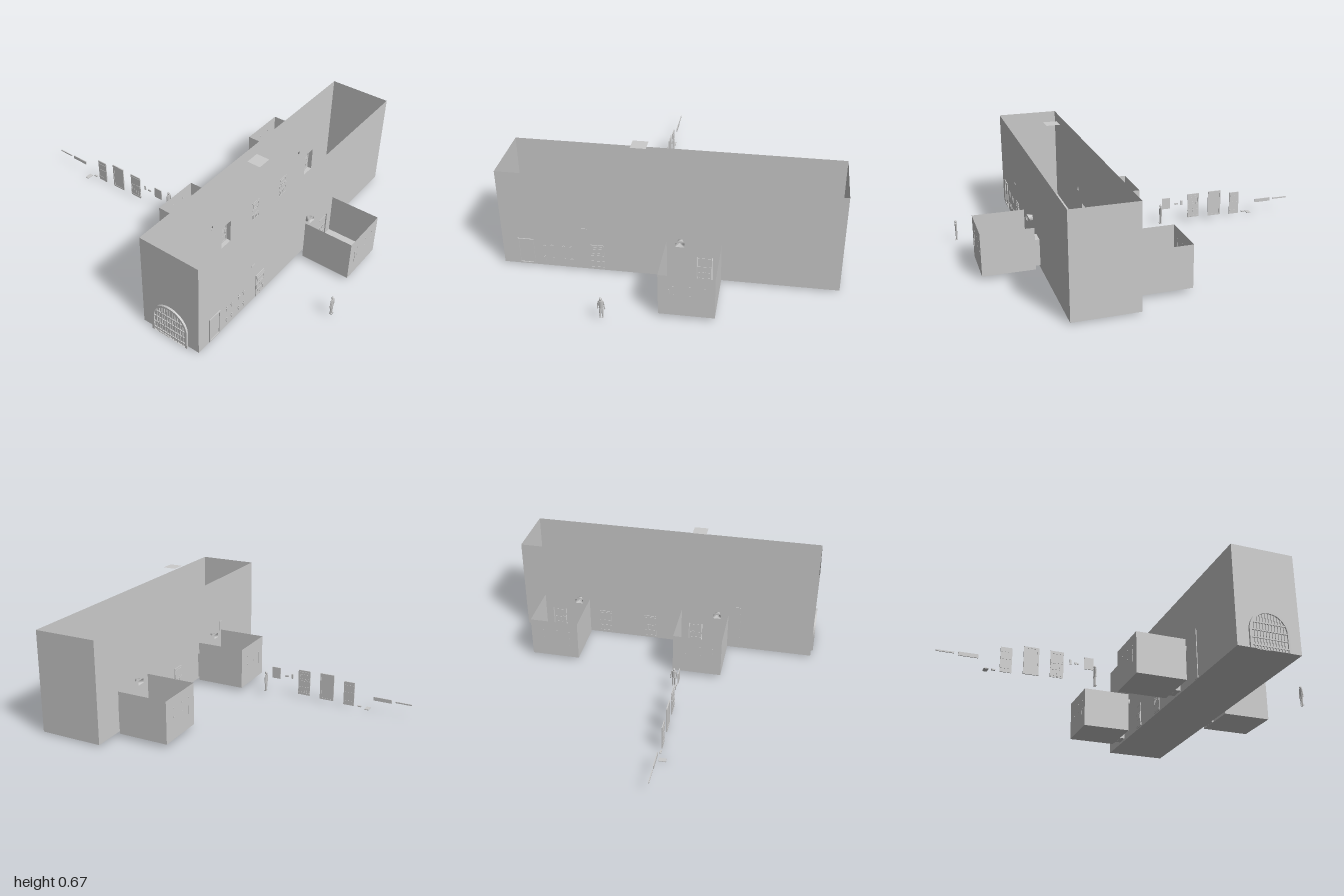
import * as THREE from 'three';

const mat = new THREE.MeshStandardMaterial({ color: 0xcccccc, side: THREE.DoubleSide });

function add(parent, name, geo, x = 0, y = 0, z = 0) {
  const m = new THREE.Mesh(geo, mat);
  m.name = name;
  m.position.set(x, y, z);
  parent.add(m);
  return m;
}

// box given by its min and max corners
function block(parent, name, x0, x1, y0, y1, z0, z1) {
  return add(parent, name, new THREE.BoxGeometry(x1 - x0, y1 - y0, z1 - z0),
    (x0 + x1) / 2, (y0 + y1) / 2, (z0 + z1) / 2);
}

function rect(T, x0, x1, y0, y1) {
  const s = new T();
  s.moveTo(x0, y0).lineTo(x1, y0).lineTo(x1, y1).lineTo(x0, y1).closePath();
  return s;
}

// thin upright wall in the xy plane with rectangular openings
function wall(parent, name, x0, x1, y0, y1, z, holes = []) {
  const s = rect(THREE.Shape, x0, x1, y0, y1);
  holes.forEach(h => s.holes.push(rect(THREE.Path, ...h)));
  return add(parent, name, new THREE.ShapeGeometry(s), 0, 0, z);
}

// thin wall in the yz plane
function endWall(parent, name, x, y0, y1, z0, z1) {
  add(parent, name, new THREE.PlaneGeometry(z1 - z0, y1 - y0), x, (y0 + y1) / 2, (z0 + z1) / 2)
    .rotation.y = Math.PI / 2;
}

function flat(parent, name, x0, x1, z0, z1, y) {
  add(parent, name, new THREE.PlaneGeometry(x1 - x0, z1 - z0), (x0 + x1) / 2, y, (z0 + z1) / 2)
    .rotation.x = -Math.PI / 2;
}

// extruded frame around a rectangular opening
function frame(parent, name, x0, x1, y0, y1, border, depth) {
  const s = rect(THREE.Shape, x0, x1, y0, y1);
  s.holes.push(rect(THREE.Path, x0 + border, x1 - border, y0 + border, y1 - border));
  return add(parent, name, new THREE.ExtrudeGeometry(s, { depth, bevelEnabled: false }));
}

// studded door with a barred peep window, centred on x, base at y = 0
function door(parent, x, y, z) {
  const g = new THREE.Group();
  g.name = 'door';
  block(g, 'doorLeaf', -0.035, 0.035, 0, 0.145, -0.002, 0.002);
  frame(g, 'peepWindow', -0.028, 0.028, 0.093, 0.122, 0.003, 0.004);
  for (let i = 0; i < 5; i++) {
    const bx = -0.03 + i * 0.015;
    block(g, 'doorStrip', bx - 0.002, bx + 0.002, 0.004, 0.088, -0.003, 0.003);
  }
  for (const by of [0.01, 0.045, 0.08, 0.132]) {
    block(g, 'doorBand', -0.034, 0.034, by - 0.003, by + 0.003, -0.004, 0.004);
  }
  g.position.set(x, y, z);
  parent.add(g);
  return g;
}

// open cell with its passage and splayed window; local +z points at the hall
function cell(parent, x, z, dir) {
  const g = new THREE.Group();
  g.name = 'cell';
  const W = 0.273, D = 0.276, y0 = 0.02, y1 = 0.25, gap = 0.032;
  const sx = v => (dir > 0 ? v : W - v);
  const span = (a, b) => [Math.min(sx(a), sx(b)), Math.max(sx(a), sx(b))];
  const [p0, p1] = span(0.15, 0.23), [w0, w1] = span(0.043, 0.088);
  flat(g, 'cellFloor', 0, W, -D, 0, y0);
  wall(g, 'cellOuterWall', 0, W, y0, y1, -D);
  wall(g, 'cellInnerWall', 0, W, y0, y1, 0, [[p0, p1, 0.021, 0.165], [w0, w1, 0.215, 0.24]]);
  endWall(g, 'cellSideWall', 0, y0, y1, -D, 0);
  endWall(g, 'cellSideWall', W, y0, y1, -D, 0);
  // passage to the hall
  endWall(g, 'passageSide', p0, 0.021, 0.165, 0, gap);
  endWall(g, 'passageSide', p1, 0.021, 0.165, 0, gap);
  flat(g, 'passageFloor', p0, p1, 0, gap, 0.021);
  flat(g, 'passageCeiling', p0, p1, 0, gap, 0.165);
  door(g, (p0 + p1) / 2, 0.02, 0.006);
  // window shaft, narrow at the hall
  const shaft = new THREE.CylinderGeometry(0.5, 0.5, gap, 4, 1, true);
  shaft.rotateY(Math.PI / 4).rotateX(Math.PI / 2);
  const p = shaft.attributes.position;
  for (let i = 0; i < p.count; i++) {
    const width = p.getZ(i) > 0 ? 0.015 : 0.045;
    p.setX(i, Math.sign(p.getX(i)) * width / 2);
    p.setY(i, Math.sign(p.getY(i)) * 0.0125);
  }
  shaft.computeVertexNormals();
  add(g, 'windowShaft', shaft, (w0 + w1) / 2, 0.2275, gap / 2);
  // slit and small fixings on the outer wall
  const [s0, s1] = span(0.05, 0.056);
  block(g, 'wallSlit', s0, s1, 0.1, 0.17, -D - 0.002, -D + 0.002);
  for (const u of [0.05, 0.12, 0.2]) for (const v of [0.14, 0.19]) {
    block(g, 'wallPeg', u - 0.003, u + 0.003, v - 0.003, v + 0.003, -D - 0.002, -D + 0.002);
  }
  g.position.set(dir > 0 ? x : x + W, 0, z);
  if (dir < 0) g.rotation.y = Math.PI;
  parent.add(g);
}

// standing figure about 0.115 tall
function figure(parent, x, y, z) {
  const g = new THREE.Group();
  g.name = 'figure';
  const head = add(g, 'head', new THREE.SphereGeometry(0.008, 10, 8), 0, 0.107, 0);
  head.scale.set(0.85, 1.1, 0.9);
  add(g, 'torso', new THREE.CylinderGeometry(0.012, 0.009, 0.045, 10), 0, 0.076, 0).scale.z = 0.55;
  for (const s of [-1, 1]) {
    add(g, 'arm', new THREE.CapsuleGeometry(0.003, 0.042, 3, 6), s * 0.015, 0.072, 0).rotation.z = s * 0.12;
    add(g, 'leg', new THREE.CylinderGeometry(0.005, 0.0035, 0.055, 8), s * 0.006, 0.028, 0);
    block(g, 'foot', s * 0.006 - 0.003, s * 0.006 + 0.003, 0, 0.004, -0.004, 0.009);
  }
  g.position.set(x, y, z);
  parent.add(g);
}

function archShape(T, r, h) {
  const s = new T();
  s.moveTo(-r, 0).lineTo(r, 0).lineTo(r, h).absarc(0, h, r, 0, Math.PI, false).lineTo(-r, 0);
  return s;
}

// arched double gate, built facing +z
function gate(parent) {
  const g = new THREE.Group();
  g.name = 'archedGate';
  const outer = archShape(THREE.Shape, 0.108, 0.098);
  outer.holes.push(archShape(THREE.Path, 0.096, 0.098));
  add(g, 'gateFrame', new THREE.ExtrudeGeometry(outer, { depth: 0.011, bevelEnabled: false }));
  add(g, 'gateLeaves', new THREE.ShapeGeometry(archShape(THREE.Shape, 0.096, 0.098), 24), 0, 0, 0.003);
  for (let i = -5; i <= 5; i++) {
    const x = i * 0.016, top = 0.098 + Math.sqrt(0.096 ** 2 - x * x);
    block(g, 'gateBar', x - 0.002, x + 0.002, 0, top, 0.003, 0.008);
  }
  for (const y of [0.02, 0.06, 0.1, 0.14]) {
    const w = y < 0.098 ? 0.096 : Math.sqrt(0.096 ** 2 - (y - 0.098) ** 2);
    block(g, 'gateRail', -w, w, y - 0.003, y + 0.003, 0.003, 0.009);
  }
  g.rotation.y = -Math.PI / 2;
  g.position.set(-0.861, 0.002, 0.451);
  parent.add(g);
}

export function createModel() {
  const root = new THREE.Group();
  root.name = 'dungeon';

  // hall, open at the top
  const X0 = -0.86, X1 = 0.863, Y0 = 0.008, Y1 = 0.556, Z0 = 0.279, Z1 = 0.623;
  const openings = x => [[x + 0.15, x + 0.23, 0.021, 0.165], [x + 0.058, x + 0.073, 0.215, 0.24]];
  flat(root, 'hallFloor', X0, X1, Z0, Z1, Y0);
  wall(root, 'hallFrontWall', X0, X1, Y0, Y1, Z1, openings(0));
  wall(root, 'hallBackWall', X0, X1, Y0, Y1, Z0, [...openings(-0.373), ...openings(0.454)]);
  endWall(root, 'hallEndWall', X0, Y0, Y1, Z0, Z1);
  endWall(root, 'hallEndWall', X1, Y0, Y1, Z0, Z1);
  flat(root, 'hangingPanel', -0.205, -0.125, 0.415, 0.49, 0.665);

  // floor slabs and sunken basin rim
  flat(root, 'floorSlab', 0.04, 0.39, 0.385, 0.52, Y0 + 0.002);
  flat(root, 'floorSlab', 0.49, X1, 0.385, 0.52, Y0 + 0.002);
  [[0, 0.012], [0.014, 0.006]].forEach(([inset, depth]) => {
    const rim = frame(root, 'basinRim', -0.188 + inset, 0.188 - inset, -0.08 + inset, 0.08 - inset, 0.007, depth);
    rim.rotation.x = -Math.PI / 2;
    rim.position.set(-0.228, Y0, 0.451);
  });

  // cells
  cell(root, 0, 0.655, -1);
  cell(root, -0.373, 0.247, 1);
  cell(root, 0.454, 0.247, 1);

  // doors and fittings on the hall walls
  door(root, -0.363, 0.015, Z1 + 0.002);
  for (const x of [0.094, 0.367]) door(root, x, 0.015, Z0 - 0.002);
  frame(root, 'doorFrame', -0.78, -0.695, 0.012, 0.165, 0.008, 0.005).position.z = Z1;
  for (const x of [-0.64, -0.6, -0.54, -0.5]) for (const y of [0.055, 0.13]) {
    block(root, 'wallBracket', x - 0.008, x + 0.008, y - 0.003, y + 0.003, Z1, Z1 + 0.003);
    block(root, 'wallBracket', x - 0.002, x + 0.002, y - 0.02, y + 0.01, Z1, Z1 + 0.003);
  }
  block(root, 'wallPlate', -0.44, -0.41, 0.25, 0.256, Z1, Z1 + 0.003);
  block(root, 'tallPanel', -0.44, -0.41, 0.01, 0.285, Z0 - 0.004, Z0);
  gate(root);
  block(root, 'gateSill', -0.87, -0.861, 0, 0.006, 0.377, 0.447);

  figure(root, -0.262, 0.018, 0.992);
  figure(root, -0.133, 0.018, -0.168);

  // row of loose parts behind the hall
  const rx = -0.169, t = 0.0025;
  const piece = (name, z0, z1, y0, y1, h = t) => block(root, name, rx - h, rx + h, y0, y1, z0, z1);
  piece('smallPanel', -0.24, -0.19, 0.09, 0.155);
  piece('latch', -0.29, -0.27, 0.109, 0.118);
  piece('handle', -0.318, -0.308, 0.104, 0.13);
  door(root, rx, 0.02, -0.386).rotation.y = Math.PI / 2;
  piece('framePanel', -0.556, -0.485, 0.024, 0.16, 0.001);
  const loose = frame(root, 'looseFrame', -0.04, 0.04, 0.016, 0.167, 0.008, 0.006);
  loose.rotation.y = Math.PI / 2;
  loose.position.set(rx - 0.003, 0, -0.521);
  piece('shutter', -0.68, -0.62, 0.01, 0.145);
  for (const y of [0.03, 0.08, 0.12]) piece('shutterBand', -0.675, -0.625, y, y + 0.006, 0.004);
  piece('hinge', -0.722, -0.702, 0.012, 0.018, 0.005);
  block(root, 'loosePlate', -0.207, -0.168, 0, 0.004, -0.765, -0.742);
  piece('beam', -0.89, -0.79, 0.065, 0.085);
  piece('rod', -1, -0.91, 0.073, 0.08);

  return root;
}
